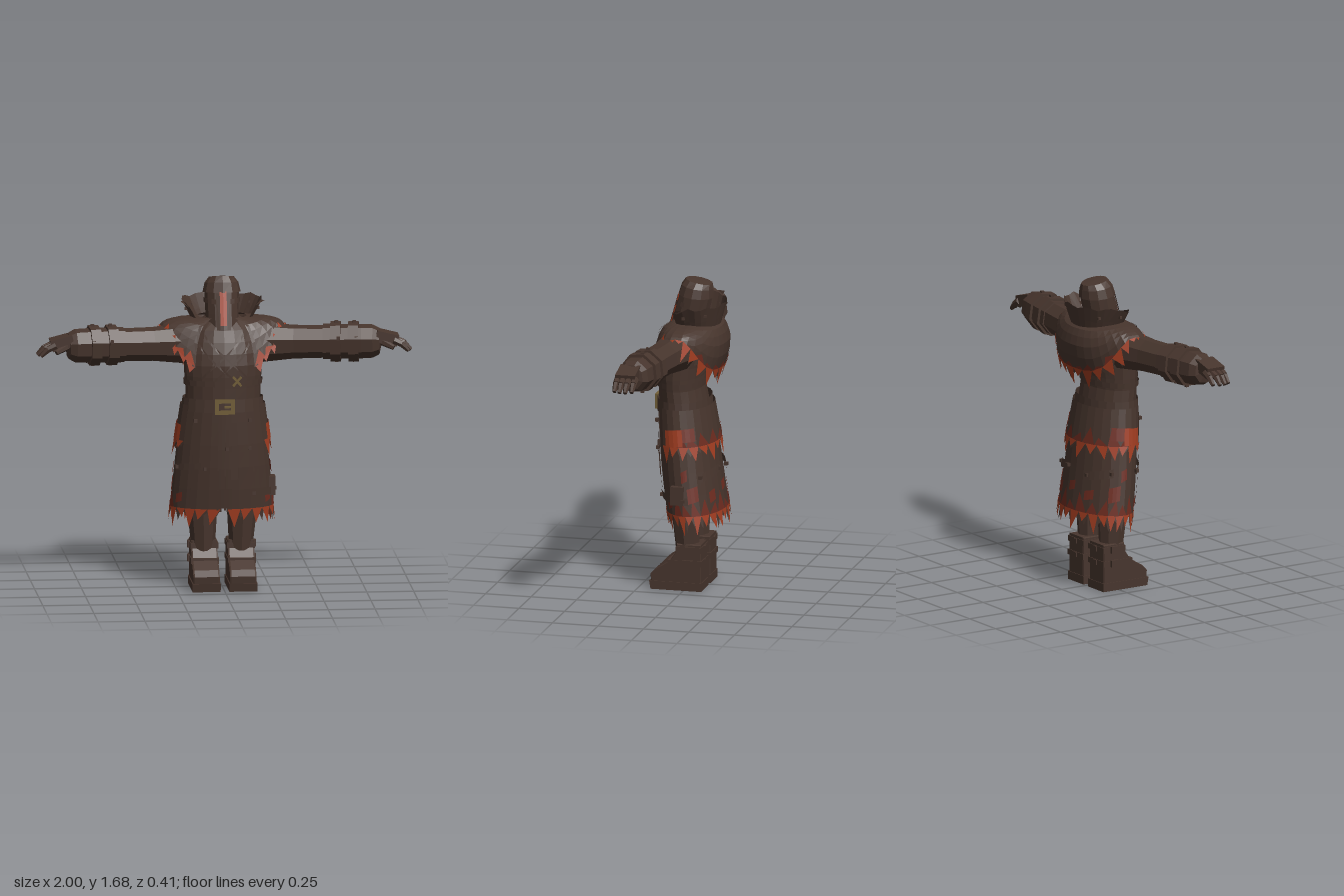
import * as THREE from 'three';

const TAU = Math.PI * 2;
const V = (x, y, z) => new THREE.Vector3(x, y, z);
const mat = (name, color) => new THREE.MeshStandardMaterial({ name, color, flatShading: true, side: THREE.DoubleSide });

// Interpolate table rows by their first column (ascending)
function rowAt(rows, k) {
  let i = 0;
  while (i < rows.length - 2 && k > rows[i + 1][0]) i++;
  const t = (k - rows[i][0]) / (rows[i + 1][0] - rows[i][0]);
  return rows[i].map((v, j) => v + (rows[i + 1][j] - v) * t);
}

// Upright elliptical surface from rows [y, rx, rz, centreZ, tilt]; angle 0 is the front
const body = rows => (a, y, off = 0) => {
  const [, rx, rz, cz, tilt = 0] = rowAt(rows, y);
  return V((rx + off) * Math.sin(a), y + tilt * Math.cos(a), cz + (rz + off) * Math.cos(a));
};

export function createModel() {
  const leather = mat('brown leather', 0x47352d);
  const rust = mat('rust red', 0xa03c20);
  const ember = mat('deep red', 0x6e2c20);
  const brass = mat('dull brass', 0x6f5c35);
  const root = new THREE.Group();
  root.name = 'armouredFigure';

  const add = (name, geo, material, pos) => {
    const m = new THREE.Mesh(geo, material);
    m.name = name;
    if (pos) m.position.copy(pos);
    root.add(m);
    return m;
  };
  const geoFrom = (pos, idx) => {
    const g = new THREE.BufferGeometry();
    g.setAttribute('position', new THREE.Float32BufferAttribute(pos, 3));
    if (idx) g.setIndex(idx);
    g.computeVertexNormals();
    return g;
  };
  // Grid over a surface; shear slides the far end in v for slanted strips
  function sheet(name, m, f, u0, u1, nu, v0, v1, nv, off = 0, shear = 0) {
    const pos = [], idx = [], w = nu + 1;
    for (let j = 0; j <= nv; j++) for (let i = 0; i <= nu; i++) {
      pos.push(...f(u0 + (u1 - u0) * i / nu, v0 + (v1 - v0) * j / nv + shear * i / nu, off).toArray());
      if (i < nu && j < nv) {
        const p = j * w + i;
        idx.push(p, p + 1, p + w + 1, p, p + w + 1, p + w);
      }
    }
    return add(name, geoFrom(pos, idx), m);
  }
  // Ragged teeth along a hem; a negative length points them back up the cloth
  function fringe(name, m, f, u0, u1, n, v, dv, len, off = 0.003) {
    const pos = [];
    for (let i = 0; i < n; i++) {
      const a = u0 + (u1 - u0) * i / n, b = u0 + (u1 - u0) * (i + 1) / n;
      const c = (a + b) / 2 + (b - a) * 0.3 * Math.sin(i * 5.1);
      const dir = f(c, v, off).sub(f(c, v - dv, off)).normalize();
      const tip = f(c, v, off).addScaledVector(dir, len * (0.8 + 0.3 * Math.sin(i * 2.7 + 1)));
      pos.push(...f(a, v, off).toArray(), ...tip.toArray(), ...f(b, v, off).toArray());
    }
    add(name, geoFrom(pos), m);
  }
  // Turned or straight parts running from point a to point b
  function along(name, geo, m, a, b) {
    const mesh = add(name, geo, m, a);
    mesh.quaternion.setFromUnitVectors(V(0, 1, 0), b.clone().sub(a).normalize());
  }
  const limb = (name, m, a, b, r0, r1, seg = 6) => {
    const h = a.distanceTo(b);
    along(name, new THREE.CylinderGeometry(r1, r0, h, seg).translate(0, h / 2, 0), m, a, b);
  };
  const stud = (p, s = 0.014) => add('stud', new THREE.BoxGeometry(s, s, s), leather, p);

  // Torso with crossed chest straps
  const torso = body([[0.97, 0.2, 0.13, 0.035], [1.1, 0.2, 0.12, 0.05], [1.2, 0.21, 0.125, 0.05],
    [1.3, 0.2, 0.13, 0.03], [1.4, 0.17, 0.12, 0], [1.46, 0.09, 0.08, -0.02]]);
  sheet('torso', leather, torso, 0, TAU, 20, 0.97, 1.46, 8);
  for (const s of [-1, 1]) {
    sheet('chestStrap', leather, torso, -0.62 * s, 0.62 * s, 10, 1.14, 1.155, 1, 0.005, 0.23);
    sheet('chestStrapUpper', leather, torso, -0.3 * s, 0.75 * s, 10, 1.12, 1.135, 1, 0.006, 0.2);
  }
  sheet('ribBelt', leather, torso, 0, TAU, 24, 1.105, 1.135, 1, 0.008);
  for (const s of [-1, 1]) {
    const m = add('crossStitch', new THREE.BoxGeometry(0.066, 0.012, 0.01), brass, V(0.065, 1.135, 0.18));
    m.rotation.z = s * 0.85;
  }

  // Long coat skirt with ragged, scorched hem
  const skirt = body([[0.34, 0.285, 0.155, -0.04], [0.43, 0.275, 0.155, -0.035], [0.6, 0.26, 0.155, -0.01],
    [0.8, 0.24, 0.15, 0.01], [1.03, 0.208, 0.135, 0.035]]);
  sheet('coatSkirt', leather, skirt, 0.05, TAU - 0.05, 24, 0.42, 1.03, 5);
  fringe('hemTeeth', leather, skirt, 0.07, TAU - 0.07, 29, 0.43, -0.03, 0.075, 0.001);
  fringe('hemTatters', rust, skirt, 0.07, TAU - 0.07, 24, 0.435, -0.03, 0.098, 0.004);
  fringe('hemScorch', ember, skirt, 1.2, TAU - 1.2, 13, 0.435, -0.03, -0.1, 0.005);
  for (const [a, y, w, h] of [[0.95, 0.46, 0.2, 0.05], [1.75, 0.5, 0.35, 0.08], [1.6, 0.61, 0.2, 0.06], [2.45, 0.49, 0.22, 0.06],
    [3.0, 0.53, 0.2, 0.05], [3.5, 0.5, 0.25, 0.05], [4.15, 0.5, 0.35, 0.08], [4.5, 0.61, 0.2, 0.06], [5.15, 0.46, 0.2, 0.05]])
    sheet('scorchPatch', ember, skirt, a, a + w, 3, y, y + h, 1, 0.006, 0.015);

  // Upper coat tier over the hips and back
  const A = 1.0;
  sheet('coatTier', leather, skirt, A, TAU - A, 18, 0.8, 1.0, 3, 0.014);
  fringe('tierTeeth', leather, skirt, A, TAU - A, 16, 0.8, -0.03, 0.05, 0.015);
  fringe('tierTatters', rust, skirt, A, TAU - A, 14, 0.805, -0.03, 0.085, 0.018);
  fringe('tierScorch', ember, skirt, A + 0.5, TAU - A - 0.5, 9, 0.805, -0.03, -0.085, 0.018);
  for (const s of [-1, 1]) {
    sheet('hipScorch', rust, skirt, s * 1.15, s * 1.75, 4, 0.8, 0.89, 2, 0.02, 0.01);
    sheet('hipEmber', ember, skirt, s * 1.55, s * 2.15, 4, 0.83, 0.9, 2, 0.019, 0.005);
  }

  // Front closing, straps and pockets
  sheet('frontPlacket', leather, skirt, -0.13, 0.15, 4, 0.44, 0.98, 5, 0.008);
  for (const [a, y0, y1] of [[-0.14, 0.43, 0.98], [0.0, 0.43, 0.9], [-0.72, 0.45, 0.95], [0.62, 0.56, 0.95]])
    sheet('frontSeam', leather, skirt, a, a + 0.03, 1, y0, y1, 5, 0.011);
  sheet('hangingStrap', leather, skirt, 0.12, 0.27, 2, 0.6, 0.78, 2, 0.014);
  sheet('tabStrap', leather, skirt, 0.02, 0.58, 4, 0.75, 0.785, 1, 0.016);
  sheet('pocketFlap', leather, skirt, -1.2, -0.35, 6, 0.64, 0.675, 1, 0.014, 0.02);
  sheet('thighStrap', leather, skirt, 0.5, 1.75, 8, 0.505, 0.545, 1, 0.014, -0.01);
  for (const a of [2.15, 3.5])
    sheet('backPocketFlap', leather, skirt, a, a + 0.75, 6, 0.61, 0.655, 1, 0.016, 0.03);
  add('thighPouch', new THREE.BoxGeometry(0.035, 0.1, 0.07), leather, skirt(1.4, 0.545, 0.004));
  for (const [a, y] of [[-1.15, 0.66], [-0.4, 0.66], [0.05, 0.77], [0.55, 0.77], [0.6, 0.52], [1.6, 0.52], [2.2, 0.64], [2.9, 0.66], [3.55, 0.64], [4.2, 0.66], [-0.7, 0.92], [0.6, 0.92]])
    stud(skirt(a, y, 0.016), 0.018);

  // Waist belt and buckle
  sheet('waistBelt', leather, body([[0.96, 0.218, 0.142, 0.033], [1.04, 0.212, 0.138, 0.036]]), 0, TAU, 24, 0.965, 1.035, 1, 0.002);
  const frame = new THREE.Shape([[-0.053, -0.04], [0.053, -0.04], [0.053, 0.04], [-0.053, 0.04]].map(p => new THREE.Vector2(...p)));
  frame.holes.push(new THREE.Path([[-0.032, -0.02], [-0.032, 0.02], [0.032, 0.02], [0.032, -0.02]].map(p => new THREE.Vector2(...p))));
  add('beltBuckle', new THREE.ExtrudeGeometry(frame, { depth: 0.014, bevelEnabled: false }), brass, V(0, 0.998, 0.174));
  add('buckleTongue', new THREE.BoxGeometry(0.038, 0.01, 0.008), brass, V(0.016, 0.998, 0.184));

  // Shoulder cape, hem raised over the arms; rows are [v, rx, back rz, front rz, drop]
  const capeRows = [[0, 0.13, 0.1, 0.11, 0], [0.4, 0.25, 0.16, 0.17, 0.15], [0.75, 0.31, 0.183, 0.2, 0.55], [1, 0.33, 0.15, 0.22, 1]];
  const cape = (a, v, off = 0) => {
    const [, rx, back, front, drop] = rowAt(capeRows, v);
    const c = Math.cos(a), s2 = Math.sin(a) ** 2;
    const hem = c > 0 ? 1.15 + 0.265 * s2 : 1.2 + 0.215 * s2 * s2;
    return V((rx + off) * Math.sin(a), 1.46 + (hem - 1.46) * drop + off * s2,
      -0.02 + (c > 0 ? (front + off) * c ** 0.7 : (back + off) * c));
  };
  sheet('shoulderCape', leather, cape, 0.5, TAU - 0.5, 28, 1, 0, 6);
  fringe('capeTeeth', leather, cape, 1.9, TAU - 1.9, 13, 0.99, 0.1, 0.07, 0.001);
  fringe('capeTatters', rust, cape, 1.7, TAU - 1.7, 12, 0.98, 0.1, 0.1, 0.004);
  fringe('capeScorch', ember, cape, 2.1, TAU - 2.1, 8, 0.98, 0.1, -0.035, 0.005);
  for (const s of [-1, 1]) {
    fringe('capeFrontTatters', rust, cape, s * 0.5, s * 1.7, 7, 0.985, 0.1, 0.05, 0.004);
    fringe('capeFrontScorch', rust, cape, s * 0.5, s * 1.3, 4, 0.985, 0.1, -0.06, 0.005);
    sheet('capeFrontTrim', leather, cape, s * 0.5, s * 0.56, 1, 1, 0.1, 6, 0.004);
  }

  // High flared collar, open at the front
  const C = 0.95;
  const collar = (a, v, off = 0) => V((0.14 + 0.073 * v + off) * Math.sin(a),
    1.4 + v * (0.152 - 0.06 * Math.max(0, Math.cos(a)) + 0.008 * Math.sin(a * 9)),
    -0.03 + (0.118 + 0.036 * v + off) * Math.cos(a));
  sheet('collar', leather, collar, C, TAU - C, 20, 0, 1, 2);
  for (const s of [-1, 1]) {
    const q = collar(s * C, 1).toArray(), r = collar(s * 1.4, 1).toArray();
    add('collarPoint', geoFrom([...q, ...r, s * 0.225, 1.545, 0.03]), leather);
    for (const a of [1.4, 2.2]) stud(collar(s * a, 0.7, 0.004));
  }

  // Bucket helmet with a narrow glowing slot
  const helmet = body([[1.36, 0.086, 0.098, 0.03], [1.6, 0.092, 0.09, -0.03]]);
  sheet('helmet', leather, helmet, 0, TAU, 12, 1.36, 1.6, 2);
  const cap = body([[1.585, 0.09, 0.088, -0.028, 0.01], [1.5851, 0.102, 0.095, -0.026, 0.01],
    [1.635, 0.09, 0.086, -0.034, 0.012], [1.664, 0.066, 0.073, -0.043, 0.014], [1.668, 0.001, 0.001, -0.04, 0]]);
  const capLevels = [1.585, 1.5851, 1.635, 1.664, 1.668];
  for (let i = 0; i < 4; i++) sheet('helmetCap', leather, cap, 0, TAU, 12, capLevels[i], capLevels[i + 1], 1);
  sheet('visorSlot', rust, helmet, -0.19, 0.19, 2, 1.425, 1.6, 1, 0.006);
  for (const s of [-1, 1]) {
    sheet('visorFrame', leather, helmet, s * 0.19, s * 0.4, 1, 1.4, 1.59, 1, 0.008);
    sheet('browBand', leather, helmet, s * 0.4, s * 1.5, 4, 1.535, 1.56, 1, 0.007);
    stud(helmet(s * 1.2, 1.45, 0), 0.016);
  }
  sheet('visorSill', leather, helmet, -0.4, 0.4, 2, 1.4, 1.425, 1, 0.008);

  // Arms, gloves, legs and boots
  const side = pts => new THREE.Shape(pts.map(p => new THREE.Vector2(...p)));
  const bootSide = side([[-0.09, 0.04], [0.175, 0.04], [0.18, 0.08], [0.15, 0.11], [0.075, 0.155], [0.035, 0.215], [0.035, 0.25], [-0.09, 0.25]]);
  const soleSide = side([[-0.098, 0], [0.18, 0], [0.188, 0.045], [-0.098, 0.045]]);
  const slab = (shape, w, bevel) => new THREE.ExtrudeGeometry(shape, { depth: w, bevelEnabled: bevel > 0, bevelSize: bevel / 2, bevelThickness: bevel, bevelSegments: 1 })
    .translate(0, 0, -w / 2).rotateY(-Math.PI / 2);
  for (const s of [-1, 1]) {
    const a = V(s * 0.18, 1.32, 0.03), b = V(s * 0.84, 1.33, 0.115);
    const turned = (name, pts) => along(name, new THREE.LatheGeometry(pts.map(([x, r]) => new THREE.Vector2(r, x - 0.18)), 8, Math.PI / 8), leather, a, b);
    turned('sleeve', [[0.18, 0.11], [0.3, 0.098], [0.38, 0.09], [0.54, 0.087], [0.56, 0.087]]);
    turned('forearmGuard', [[0.53, 0], [0.535, 0.094], [0.74, 0.092], [0.8, 0.089], [0.835, 0.07], [0.85, 0]]);
    for (const x of [0.575, 0.67]) {
      turned('forearmBand', [[x, 0.085], [x, 0.108], [x + 0.055, 0.108], [x + 0.055, 0.085]]);
      for (const [y, z] of [[1.43, 0], [1.225, 0], [1.36, 0.1]]) stud(V(s * (x + 0.028), y, 0.055 + x * 0.045 + z), 0.018);
    }
    const palm = add('palm', new THREE.BoxGeometry(0.12, 0.06, 0.108), leather, V(s * 0.865, 1.352, 0.12));
    palm.rotation.z = -s * 0.25;
    for (const [i, z] of [0.072, 0.103, 0.134, 0.165].entries()) {
      const reach = [-0.02, 0, 0, -0.015][i];
      const k = V(s * 0.9, 1.342, z), j = V(s * (0.957 + reach), 1.322, z), t = V(s * (0.995 + reach), 1.285, z);
      limb('finger', leather, k, j, 0.02, 0.018);
      limb('fingerTip', leather, j, t, 0.018, 0.011);
    }
    limb('thumb', leather, V(s * 0.84, 1.335, 0.155), V(s * 0.9, 1.305, 0.183), 0.022, 0.013);

    limb('leg', leather, V(s * 0.1, 0.2, -0.005), V(s * 0.11, 0.56, 0.005), 0.062, 0.092, 8);
    add('boot', slab(bootSide, 0.125, 0.008), leather, V(s * 0.098, 0, 0));
    add('sole', slab(soleSide, 0.15, 0), leather, V(s * 0.098, 0, 0));
    for (const [y, d, z] of [[0.225, 0.14, -0.028], [0.15, 0.185, -0.006]]) {
      add('bootStrap', new THREE.BoxGeometry(0.15, 0.03, d), leather, V(s * 0.098, y, z));
      add('bootBuckle', new THREE.BoxGeometry(0.014, 0.036, 0.045), leather, V(s * 0.176, y, -0.03));
      stud(V(s * 0.098, y, -0.092), 0.026);
    }
  }
  return root;
}
